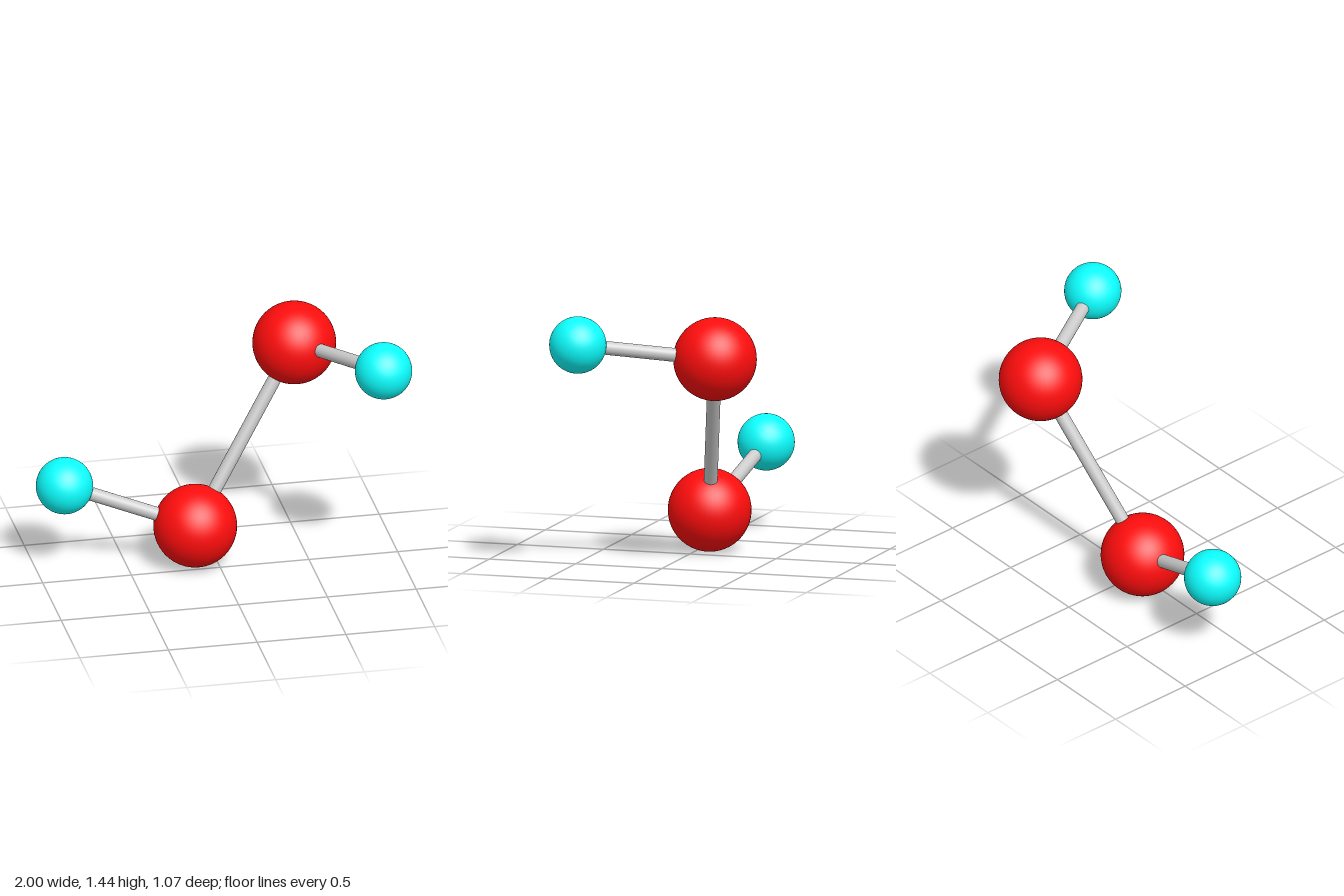
import * as THREE from 'three';

export function createModel() {
  const model = new THREE.Group();
  const red = new THREE.MeshStandardMaterial({ color: 0xff0d0d });
  const cyan = new THREE.MeshStandardMaterial({ color: 0x0dffff });
  const grey = new THREE.MeshStandardMaterial({ color: 0xcccccc });

  // Atom centres
  const rightSmall = new THREE.Vector3(-0.842, 0.5, -0.17);
  const lowerLarge = new THREE.Vector3(-0.125, 0.232, -0.075);
  const upperLarge = new THREE.Vector3(0.48, 1.186, -0.302);
  const leftSmall = new THREE.Vector3(0.842, 1.288, 0.376);

  function addAtom(name, centre, radius, material) {
    const atom = new THREE.Mesh(new THREE.SphereGeometry(radius, 48, 32), material);
    atom.name = name;
    atom.position.copy(centre);
    model.add(atom);
  }

  // Rod running from one atom centre to the next
  function addBond(name, from, to) {
    const axis = to.clone().sub(from);
    const bond = new THREE.Mesh(new THREE.CylinderGeometry(0.038, 0.038, axis.length(), 32), grey);
    bond.name = name;
    bond.position.copy(from).add(to).multiplyScalar(0.5);
    bond.quaternion.setFromUnitVectors(new THREE.Vector3(0, 1, 0), axis.normalize());
    model.add(bond);
  }

  addAtom('lowerLargeAtom', lowerLarge, 0.231, red);
  addAtom('upperLargeAtom', upperLarge, 0.231, red);
  addAtom('rightSmallAtom', rightSmall, 0.158, cyan);
  addAtom('leftSmallAtom', leftSmall, 0.158, cyan);

  addBond('rightBond', rightSmall, lowerLarge);
  addBond('middleBond', lowerLarge, upperLarge);
  addBond('leftBond', upperLarge, leftSmall);

  return model;
}
